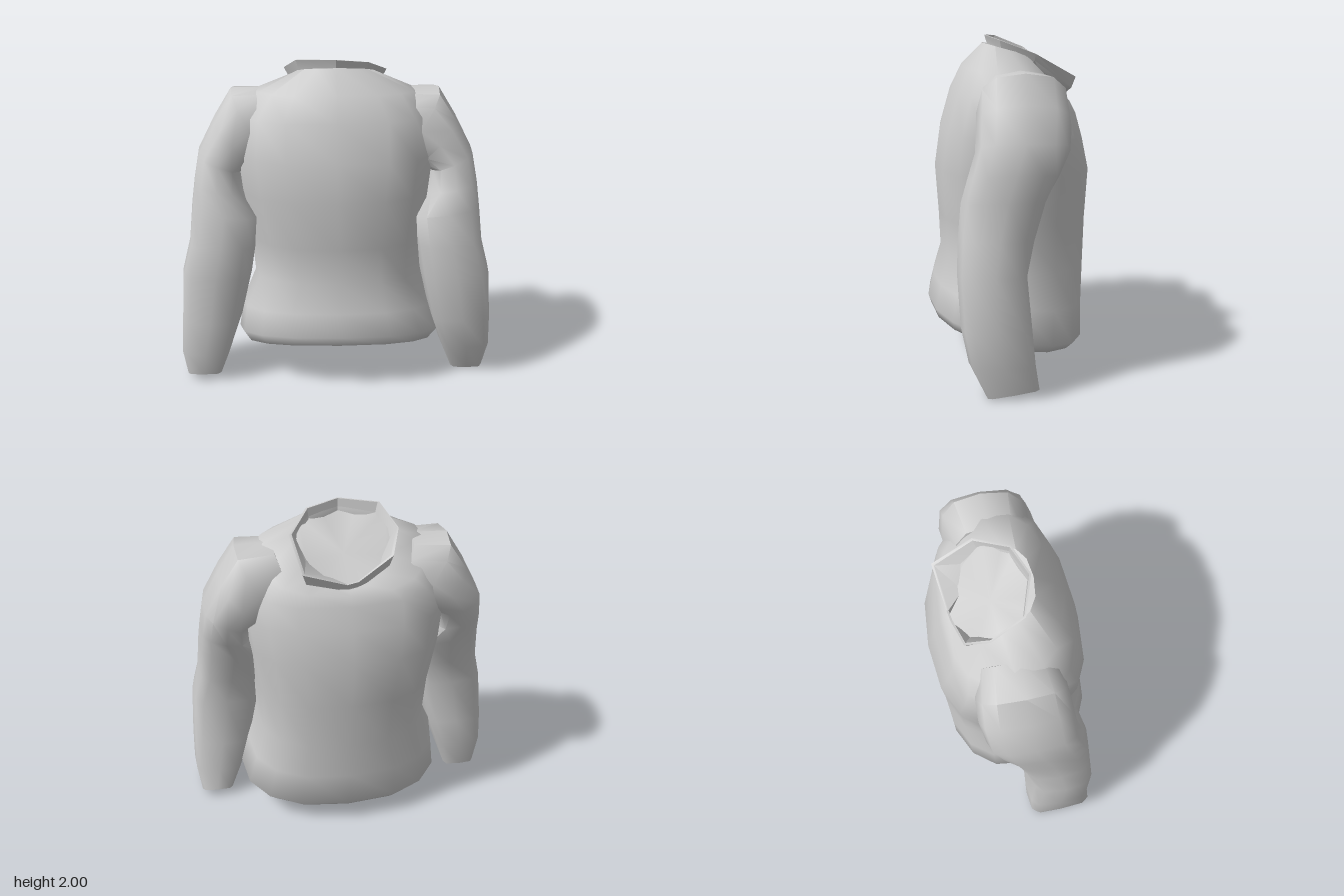
import * as THREE from 'three';
import { toCreasedNormals } from 'three/addons/utils/BufferGeometryUtils.js';

const material = new THREE.MeshStandardMaterial({ color: 0xcccccc, side: THREE.DoubleSide });

// Skin a stack of equal-length rings; capDips gives the sink of the first and last end cap
function loft(name, rings, { capDips = [], closed = false, crease = 1.15 } = {}) {
  const n = rings[0].length;
  const pos = rings.flat(2);
  const index = [];
  const last = closed ? rings.length : rings.length - 1;
  for (let j = 0; j < last; j++) {
    const k = (j + 1) % rings.length;
    for (let i = 0; i < n; i++) {
      const m = (i + 1) % n;
      const a = j * n + i, b = k * n + i, c = k * n + m, d = j * n + m;
      index.push(a, b, c, a, c, d);
    }
  }
  capDips.forEach((dip, e) => {
    const base = e === 0 ? 0 : (rings.length - 1) * n;
    const ring = rings[base / n];
    const centre = [0, 1, 2].map((k) => ring.reduce((sum, p) => sum + p[k], 0) / n);
    const c = pos.length / 3;
    pos.push(centre[0], centre[1] + dip, centre[2]);
    for (let i = 0; i < n; i++) {
      const a = base + i, b = base + (i + 1) % n;
      if (e === 0) index.push(c, a, b);
      else index.push(c, b, a);
    }
  });
  const g = new THREE.BufferGeometry();
  g.setAttribute('position', new THREE.Float32BufferAttribute(pos, 3));
  g.setIndex(index);
  const mesh = new THREE.Mesh(toCreasedNormals(g, crease), material);
  mesh.name = name;
  return mesh;
}

// Rounded-box loop: point(c, s) receives softened cosine and sine
function loop(n, turn, power, point) {
  const soft = (v) => Math.sign(v) * Math.pow(Math.abs(v), power);
  return Array.from({ length: n }, (_, i) => {
    const a = turn * (i / n) * Math.PI * 2;
    return point(soft(Math.cos(a)), soft(Math.sin(a)));
  });
}

const mix = THREE.MathUtils.lerp;

function torso() {
  // yFront, ySide, yBack, xCentre, half width, zFront, zBack, corner softness
  const rings = [
    [0.30, 0.17, 0.10, 0.02, 0.60, 0.48, -0.42, 0.8],
    [0.36, 0.24, 0.14, 0.025, 0.65, 0.50, -0.46, 0.8],
    [0.50, 0.42, 0.36, 0.01, 0.61, 0.465, -0.465, 0.8],
    [0.68, 0.62, 0.60, 0.02, 0.535, 0.415, -0.475, 0.8],
    [0.90, 0.90, 0.90, 0.01, 0.55, 0.425, -0.485, 0.8],
    [1.20, 1.20, 1.20, 0, 0.595, 0.445, -0.50, 0.77],
    [1.43, 1.43, 1.40, 0, 0.62, 0.41, -0.45, 0.73],
    [1.66, 1.67, 1.54, 0, 0.60, 0.34, -0.405, 0.7],
    [1.81, 1.80, 1.60, 0, 0.50, 0.27, -0.38, 0.74],
    [1.955, 1.89, 1.62, 0, 0.25, 0.145, -0.35, 0.8],
  ].map(([yf, ys, yb, x, w, zf, zb, power]) => loop(16, 1, power, (c, s) => [
    x + w * c,
    mix(ys, s > 0 ? yf : yb, Math.abs(s)),
    mix(zb, zf, (s + 1) / 2),
  ]));
  return loft('torso', rings, { capDips: [0, -0.08] });
}

// Sleeve running from the cuff up, its rings tipping over into the shoulder
function sleeve(name, side, cuff) {
  // xOuter, yOuter, xInner, yInner, zFront, zBack, corner softness
  const rings = [
    ...cuff,
    [0.975, 0.40, 0.60, 0.39, 0.36, -0.045, 0.5],
    [0.957, 0.71, 0.53, 0.69, 0.375, -0.02, 0.55],
    [0.91, 0.90, 0.50, 0.88, 0.365, -0.07, 0.6],
    [0.892, 1.12, 0.47, 1.06, 0.345, -0.14, 0.65],
    [0.875, 1.27, 0.57, 1.20, 0.31, -0.21, 0.7],
    [0.847, 1.44, 0.58, 1.32, 0.265, -0.275, 0.7],
    [0.745, 1.64, 0.50, 1.36, 0.25, -0.30, 0.7],
    [0.64, 1.81, 0.38, 1.36, 0.235, -0.295, 0.72],
    [0.42, 1.815, 0.25, 1.36, 0.20, -0.25, 0.75],
  ].map(([xo, yo, xi, yi, zf, zb, power]) => loop(12, side, power, (c, s) => [
    side * mix(xi, xo, (c + 1) / 2),
    mix(yi, yo, (c + 1) / 2),
    mix(zb, zf, (s + 1) / 2),
  ]));
  // Tip the cuff opening so that one edge hangs lower
  const tip = side * 0.13;
  rings[0].forEach((p) => { p[1] += 0.015 - tip * (p[2] - 0.11); });
  return loft(name, rings, { capDips: [0, 0], crease: 0.95 });
}

function collar() {
  // x, z, top y, outer bottom y, then x, z of the inner foot; from the low notch round the neck
  const path = [
    [0.02, -0.355, 1.66, 1.61, 0.00, -0.34],
    [0.28, -0.39, 1.76, 1.69, 0.12, -0.24],
    [0.325, -0.14, 1.90, 1.86, 0.22, -0.09],
    [0.20, 0.06, 1.975, 1.92, 0.185, 0.04],
    [0.00, 0.13, 2.00, 1.94, 0.00, 0.11],
    [-0.24, 0.05, 1.99, 1.92, -0.20, 0.04],
    [-0.315, -0.16, 1.91, 1.86, -0.23, -0.12],
    [-0.26, -0.30, 1.80, 1.73, -0.16, -0.24],
    [-0.05, -0.345, 1.67, 1.61, -0.03, -0.335],
  ];
  const band = (scale, level) => path.map((p) => [p[0] * scale, p[level], -0.11 + (p[1] + 0.11) * scale]);
  const foot = path.map((p) => [p[4], 1.83 + 0.66 * p[5], p[5]]);
  // outside wall, rim, inside wall
  return loft('collar', [band(0.92, 3), band(1, 2), band(0.95, 2), foot], { closed: true, crease: 0.5 });
}

export function createModel() {
  const group = new THREE.Group();
  group.name = 'sweater';
  group.add(
    torso(),
    sleeve('leftSleeve', 1, [
      [0.95, 0.01, 0.74, 0.01, 0.23, -0.08, 0.35],
      [0.98, 0.20, 0.67, 0.19, 0.32, -0.06, 0.45],
    ]),
    sleeve('rightSleeve', -1, [
      [0.95, 0.00, 0.73, 0.00, 0.34, 0.00, 0.35],
      [0.98, 0.20, 0.67, 0.19, 0.375, -0.04, 0.45],
    ]),
    collar(),
  );
  return group;
}
